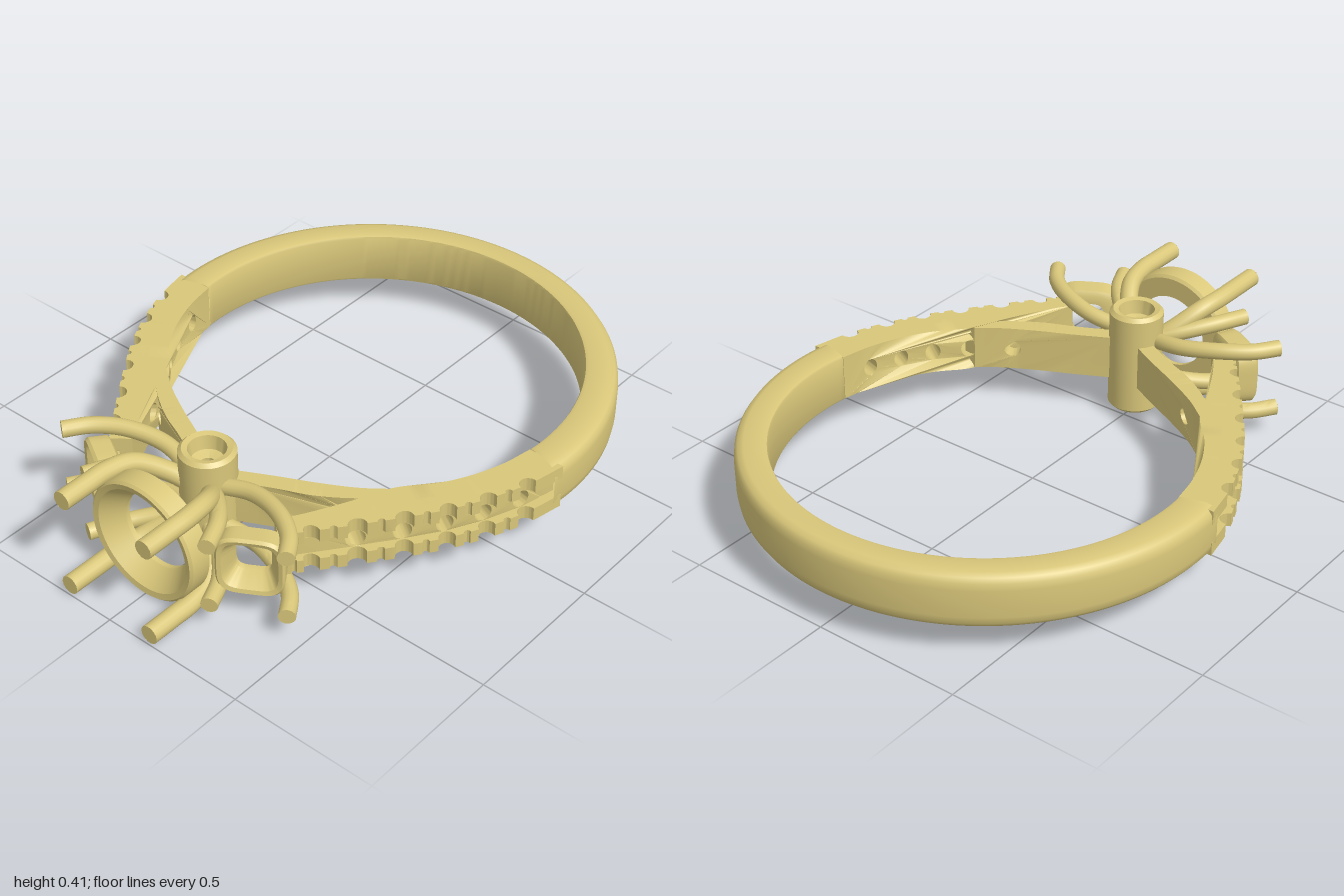
import * as THREE from 'three';
import { toCreasedNormals } from 'three/addons/utils/BufferGeometryUtils.js';

const CY = 0.207; // height of the ring's mid plane
const gold = new THREE.MeshStandardMaterial({ color: 0xd9c77a, side: THREE.DoubleSide });

function add(parent, name, geometry, crease = 0.6) {
  const mesh = new THREE.Mesh(toCreasedNormals(geometry, crease), gold);
  mesh.name = name;
  parent.add(mesh);
  return mesh;
}

const curveXZ = (pts) => new THREE.CatmullRomCurve3(pts.map(([x, z]) => new THREE.Vector3(x, 0, z)));

// Edge of a strip, sampled finely so that it can be bent
const sampled = (a, b, y, n = 60) =>
  Array.from({ length: n + 1 }, (_, i) => new THREE.Vector2(a + ((b - a) * i) / n, y));

// Moves flat (u, y, depth) vertices onto the band between an outer and an inner curve
function bend(geometry, outer, inner, length, read) {
  const pos = geometry.attributes.position;
  for (let i = 0; i < pos.count; i++) {
    const { u, y, depth, whole } = read(pos.getX(i), pos.getY(i), pos.getZ(i));
    const t = THREE.MathUtils.clamp(u / length, 0, 1);
    const o = outer.getPoint(t);
    const dir = inner.getPoint(t).sub(o);
    const full = dir.length();
    const d = whole === undefined ? depth : depth + whole * (full - depth);
    o.addScaledVector(dir.normalize(), d);
    pos.setXYZ(i, o.x, y, o.z);
  }
  geometry.deleteAttribute('normal');
  geometry.computeVertexNormals();
  return geometry;
}

// Curved plate with round holes drilled through its thickness
function plate(outer, inner, length, h, holes, radius, start) {
  const shape = new THREE.Shape([...sampled(0, length, -h), ...sampled(length, 0, h)]);
  for (const u of holes) {
    const hole = new THREE.Path();
    hole.absarc(u, 0, radius, 0, Math.PI * 2, true);
    shape.holes.push(hole);
  }
  const g = new THREE.ExtrudeGeometry(shape, { depth: 1, bevelEnabled: false, curveSegments: 16 });
  return bend(g, outer, inner, length, (x, y, z) => ({ u: x, y, depth: start, whole: z }));
}

// Scalloped rail: wide notches beside each seat, a fine slot between the bead pairs
function rail(outer, inner, length, y0, y1) {
  const shape = new THREE.Shape(sampled(0, length, -0.05));
  shape.lineTo(length, 0);
  for (let i = 6.5; i >= 1; i -= 0.5) {
    const r = Number.isInteger(i) ? 0.028 : 0.011;
    shape.absarc((length * i) / 7, 0, r, 0, Math.PI, true);
  }
  sampled((length * 0.9) / 7, 0, 0, 8).slice(1).forEach((p) => shape.lineTo(p.x, p.y));
  const g = new THREE.ExtrudeGeometry(shape, { depth: y1 - y0, bevelEnabled: false, curveSegments: 12 });
  return bend(g, outer, inner, length, (x, y, z) => ({ u: x, y: y0 + z, depth: -y }));
}

// Plain rear part of the band, swept from a rounded section
function shankGeometry() {
  const half = [[0, 0.5], [0.03, 0.75], [0.12, 0.91], [0.3, 1], [0.88, 1], [0.97, 0.96], [1, 0.88]];
  const section = [...half, ...half.map(([d, y]) => [d, -y]).reverse()];
  const n = section.length, steps = 120, A = 1.68, verts = [], index = [];
  for (let i = 0; i <= steps; i++) {
    const a = -A + (2 * A * i) / steps, s = Math.sin(a), c = Math.cos(a);
    const h = 0.085 + 0.008 * c;
    for (const [d, y] of section) {
      const r = 0.79 - 0.12 * d;
      verts.push(r * s, y * h, -0.21 - 0.02 * d - r * c);
    }
    if (i === steps) break;
    for (let j = 0; j < n; j++) {
      const p = i * n + j, q = i * n + ((j + 1) % n);
      index.push(p, q, p + n, q, q + n, p + n);
    }
  }
  const g = new THREE.BufferGeometry();
  g.setAttribute('position', new THREE.Float32BufferAttribute(verts, 3));
  g.setIndex(index);
  g.computeVertexNormals();
  return g;
}

// Round wire with a flat tip
function prong(parent, name, pts, radius) {
  const curve = new THREE.CatmullRomCurve3(pts.map((p) => new THREE.Vector3(...p)));
  add(parent, name, new THREE.TubeGeometry(curve, 32, radius, 14));
  const cap = add(parent, name + 'Tip', new THREE.CircleGeometry(radius, 14));
  const tip = curve.getPoint(1);
  cap.position.copy(tip);
  cap.quaternion.setFromUnitVectors(new THREE.Vector3(0, 0, 1), curve.getTangent(1));
}

const lathe = (pts, seg) => new THREE.LatheGeometry(pts.map((p) => new THREE.Vector2(...p)), seg);

function buildSide() {
  const side = new THREE.Group();

  // Stone-set shoulder
  const outer = curveXZ([[0.79, -0.155], [0.76, -0.02], [0.71, 0.11], [0.65, 0.225],
    [0.575, 0.335], [0.49, 0.45], [0.405, 0.56], [0.345, 0.635]]);
  const inner = curveXZ([[0.666, -0.155], [0.645, -0.05], [0.604, 0.06], [0.548, 0.155],
    [0.467, 0.25], [0.405, 0.385], [0.335, 0.52], [0.29, 0.59]]);
  const L = 0.95, H = 0.078;
  const seats = [1, 2, 3, 4, 5].map((i) => (L * i) / 7);
  add(side, 'shoulderPlate', plate(outer, inner, L, H, seats, 0.03, 0.03));
  add(side, 'upperBeadRail', rail(outer, inner, L, 0.032, H));
  add(side, 'lowerBeadRail', rail(outer, inner, L, -H, -0.032));

  // Inner branch that joins the central post
  const outer2 = curveXZ([[0.5, 0.27], [0.41, 0.36], [0.3, 0.435], [0.2, 0.48], [0.06, 0.55]]);
  const inner2 = curveXZ([[0.455, 0.265], [0.385, 0.318], [0.27, 0.383], [0.17, 0.432], [0.04, 0.5]]);
  add(side, 'innerBranch', plate(outer2, inner2, 0.52, 0.076, [0.17], 0.028, 0));

  // Cushion-shaped side setting
  const g = lathe([[0.085, -0.04], [0.1, -0.03], [0.105, 0.03], [0.098, 0.04], [0.085, 0.036],
    [0.055, -0.02], [0.055, -0.04], [0.085, -0.04]], 64);
  const pos = g.attributes.position;
  for (let i = 0; i < pos.count; i++) {
    const a = Math.atan2(pos.getZ(i), pos.getX(i));
    const f = (Math.cos(a) ** 4 + Math.sin(a) ** 4) ** -0.25;
    pos.setXYZ(i, pos.getX(i) * f, pos.getY(i), pos.getZ(i) * f);
  }
  g.rotateX(Math.PI / 2).rotateY(0.53);
  add(side, 'sideBezel', g).position.set(0.3, 0, 0.7);

  // Prongs
  for (const s of [1, -1]) {
    prong(side, 'sideOuterProng', [[0.04, s * 0.07, 0.58], [0.18, s * 0.095, 0.555],
      [0.31, s * 0.11, 0.59], [0.4, s * 0.112, 0.65], [0.455, s * 0.112, 0.725]], 0.027);
    prong(side, 'sideInnerProng', [[0.03, s * 0.06, 0.59], [0.12, s * 0.09, 0.65],
      [0.2, s * 0.11, 0.735], [0.25, s * 0.112, 0.835]], 0.027);
    prong(side, 'centreProng', [[0.03, s * 0.04, 0.59], [0.09, s * 0.095, 0.645], [0.145, s * 0.15, 0.73],
      [0.163, s * 0.163, 0.82], [0.164, s * 0.164, 0.9], [0.164, s * 0.164, 1]], 0.031);
  }
  return side;
}

export function createModel() {
  const model = new THREE.Group();
  model.name = 'threeStoneRing';
  const body = new THREE.Group();
  body.name = 'ringBody';
  body.position.y = CY;
  model.add(body);

  add(body, 'shank', shankGeometry());

  // Upright post with hollowed ends
  add(body, 'centrePost', lathe([[0.09, -0.168], [0.09, 0.168], [0.078, 0.18], [0.06, 0.176], [0.052, 0.13],
    [0.022, 0.12], [0.022, -0.12], [0.052, -0.13], [0.06, -0.176], [0.078, -0.18], [0.09, -0.168]], 40))
    .position.z = 0.56;

  // Main stone seat
  add(body, 'centreBezel', lathe([[0.195, -0.042], [0.205, -0.034], [0.205, 0.034], [0.197, 0.042],
    [0.178, 0.038], [0.128, -0.026], [0.128, -0.042], [0.195, -0.042]], 64).rotateX(Math.PI / 2))
    .position.z = 0.813;

  // Shoulders, side settings and prongs, mirrored
  for (const s of [1, -1]) {
    const side = buildSide();
    side.name = s > 0 ? 'leftSide' : 'rightSide';
    side.scale.x = s;
    body.add(side);
  }
  return model;
}
